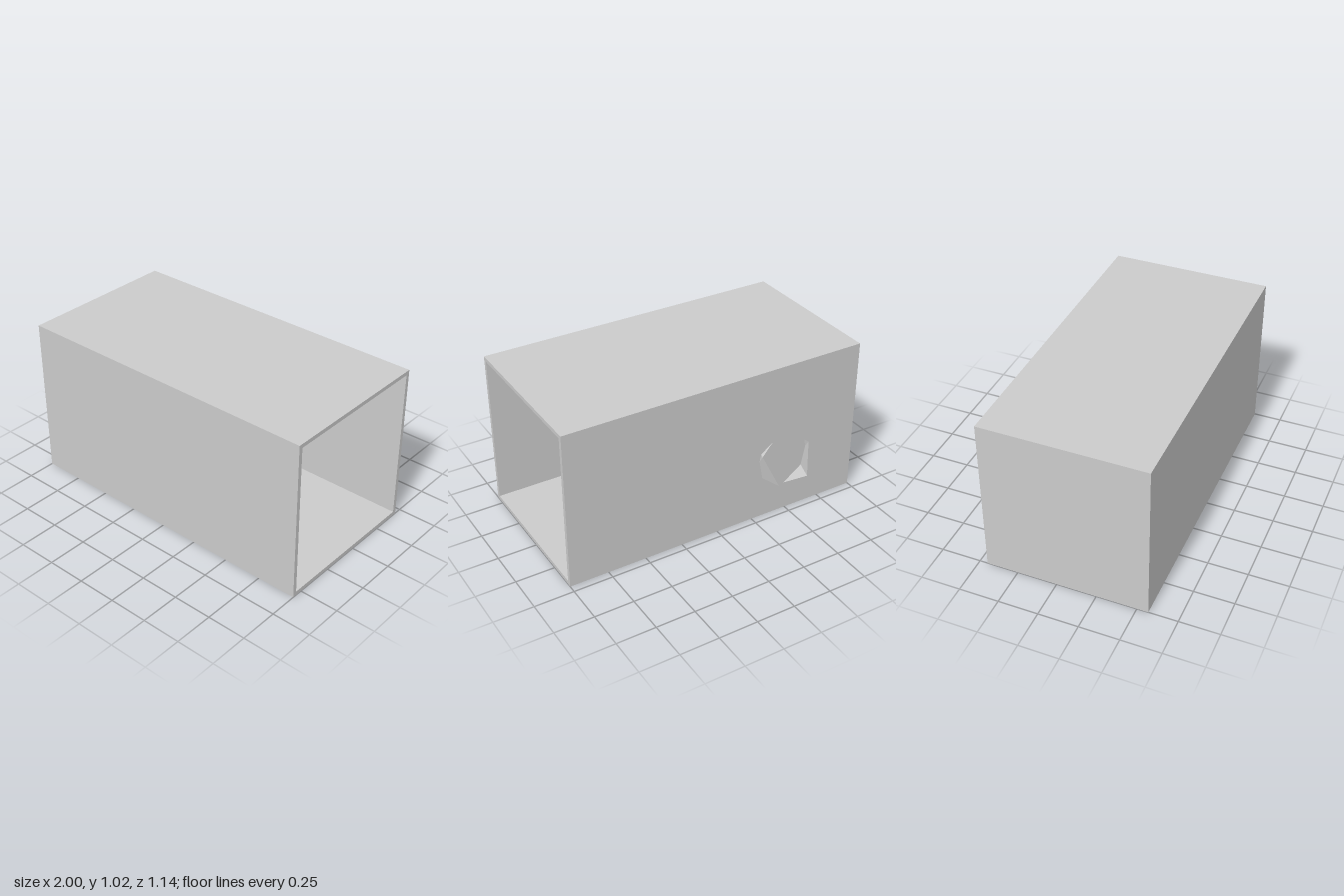
import * as THREE from 'three';

const WALL = 0.025, ZBACK = -0.45, ZFRONT = 0.57, HEIGHT = 1.022;

// Rectangle outline whose local x axis becomes -z after the quarter turn
function rectangle(PathType, inset) {
  const a = -ZFRONT + inset, b = -ZBACK - inset, lo = inset, hi = HEIGHT - inset;
  return new PathType([
    new THREE.Vector2(a, lo), new THREE.Vector2(b, lo),
    new THREE.Vector2(b, hi), new THREE.Vector2(a, hi),
  ]);
}

// Faceted shell: an icosahedron standing on a point, opened at the rear
function openShellGeometry(radius) {
  const ringY = radius / Math.sqrt(5), ringR = 2 * ringY;
  const ring = (i, y, turn) => {
    const a = ((i + turn) * 2 * Math.PI) / 5;
    return [ringR * Math.sin(a), y, ringR * Math.cos(a)];
  };
  const lower = (i) => ring(i, -ringY, 0);
  const upper = (i) => ring(i, ringY, 0.5);
  const top = [0, radius, 0], bottom = [0, -radius, 0];
  const positions = [];
  const face = (...corners) => positions.push(...corners.flat());
  for (let i = 0; i < 5; i++) {
    const rear = i === 1 || i === 2;
    if (!rear) {
      face(top, upper(i), upper(i + 1));
      face(upper(i), lower(i + 1), upper(i + 1));
    }
    if (i !== 2) {
      face(lower(i), lower(i + 1), upper(i));
      face(bottom, lower(i + 1), lower(i));
    }
  }
  const geometry = new THREE.BufferGeometry();
  geometry.setAttribute('position', new THREE.Float32BufferAttribute(positions, 3));
  geometry.computeVertexNormals();
  return geometry;
}

export function createModel() {
  const group = new THREE.Group();
  const solid = new THREE.MeshStandardMaterial({ color: 0xcccccc, flatShading: true });
  const thin = new THREE.MeshStandardMaterial({
    color: 0xcccccc, flatShading: true, side: THREE.DoubleSide,
  });
  const add = (name, geometry, material, x, y, z) => {
    const mesh = new THREE.Mesh(geometry, material);
    mesh.name = name;
    mesh.position.set(x, y, z);
    group.add(mesh);
    return mesh;
  };

  // Hollow box: four walls in one sleeve, open at the +x end
  const outline = rectangle(THREE.Shape, 0);
  outline.holes.push(rectangle(THREE.Path, WALL));
  const sleeve = new THREE.ExtrudeGeometry(outline, { depth: 2 - WALL, bevelEnabled: false });
  sleeve.rotateY(Math.PI / 2);
  add('boxWalls', sleeve, solid, -1 + WALL, 0, 0);

  // Closed end
  add('endWall', new THREE.BoxGeometry(WALL, HEIGHT, ZFRONT - ZBACK), solid,
    -1 + WALL / 2, HEIGHT / 2, (ZFRONT + ZBACK) / 2);

  // Open faceted shell set into the rear wall
  add('facetedShell', openShellGeometry(0.2), thin, -0.465, 0.37, -0.425);

  // Ring half sunk into the floor
  const ring = new THREE.TorusGeometry(0.093, 0.025, 8, 16);
  ring.rotateX(-Math.PI / 2);
  add('floorRing', ring, solid, 0, WALL, 0.317);

  return group;
}
